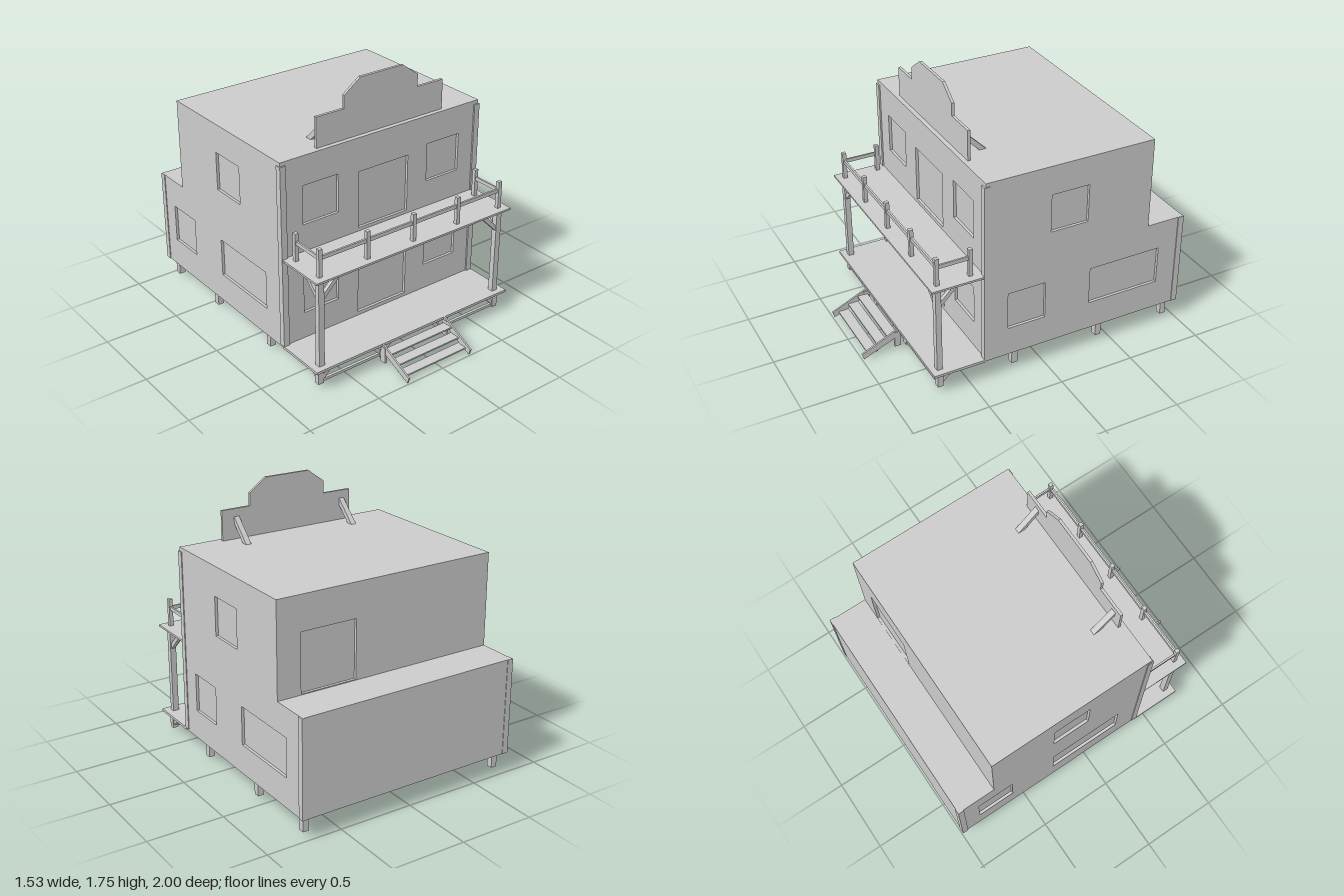
import * as THREE from 'three';

const grey = new THREE.MeshStandardMaterial({ color: 0xcccccc, flatShading: true, side: THREE.DoubleSide });

export function createModel() {
  const model = new THREE.Group();

  const add = (name, geometry, parent = model) => {
    const mesh = new THREE.Mesh(geometry, grey);
    mesh.name = name;
    parent.add(mesh);
    return mesh;
  };

  // Box given by its limits on each axis
  const box = (name, x0, x1, y0, y1, z0, z1) =>
    add(name, new THREE.BoxGeometry(x1 - x0, y1 - y0, z1 - z0))
      .position.set((x0 + x1) / 2, (y0 + y1) / 2, (z0 + z1) / 2);

  const shapeOf = (points) => new THREE.Shape(points.map(([x, y]) => new THREE.Vector2(x, y)));

  // Flat profile with thickness, centred on its own plane, turned about y
  const plate = (name, points, thickness, x, z, turn = 0) => {
    const geometry = new THREE.ExtrudeGeometry(shapeOf(points), { depth: thickness, bevelEnabled: false });
    geometry.translate(0, 0, -thickness / 2);
    const mesh = add(name, geometry);
    mesh.position.set(x, 0, z);
    mesh.rotation.y = turn;
  };

  // Thin wall with openings [x0, x1, y0, y1], each closed by a recessed panel
  const wall = (name, outline, openings, x, z, turn) => {
    const group = new THREE.Group();
    group.name = name;
    group.position.set(x, 0, z);
    group.rotation.y = turn;
    model.add(group);
    const shape = shapeOf(outline);
    const depth = 0.018;
    for (const [x0, x1, y0, y1] of openings) {
      shape.holes.push(new THREE.Path([[x0, y0], [x0, y1], [x1, y1], [x1, y0]].map(p => new THREE.Vector2(...p))));
      const recess = new THREE.BoxGeometry(x1 - x0, y1 - y0, depth);
      // leave the outer face open
      recess.setIndex(Array.from(recess.index.array).filter((_, i) => i < 24 || i >= 30));
      recess.translate((x0 + x1) / 2, (y0 + y1) / 2, -depth / 2);
      add(y1 - y0 > 0.3 ? 'doorRecess' : 'windowRecess', recess, group);
    }
    add(name + 'Panel', new THREE.ShapeGeometry(shape), group);
  };

  const slab = (name, x0, x1, z0, z1, y) => {
    const geometry = new THREE.PlaneGeometry(x1 - x0, z1 - z0);
    geometry.rotateX(-Math.PI / 2);
    add(name, geometry).position.set((x0 + x1) / 2, y, (z0 + z1) / 2);
  };

  // Main levels
  const W = 0.76, FRONT = 0.4, STEP = -0.735, BACK = -0.997;
  const BASE = 0.14, MID = 0.78, TOP = 1.39;
  const low = [0.335, 0.59], high = [0.943, 1.198];

  // Building shell, open underneath
  const rect = (y0, y1) => [[-W, y0], [W, y0], [W, y1], [-W, y1]];
  wall('frontWall', rect(BASE, TOP), [
    [-0.19, 0.19, 0.18, 0.56], [-0.19, 0.19, 0.786, 1.166],
    ...[low, high].flatMap(h => [[-0.604, -0.345, ...h], [0.345, 0.604, ...h]]),
  ], 0, FRONT, 0);
  wall('upperBackWall', rect(MID, TOP), [[-0.6, -0.22, 0.786, 1.166]], 0, STEP, Math.PI);
  wall('lowerBackWall', rect(BASE, MID), [], 0, BACK, Math.PI);

  const side = [[FRONT, BASE], [FRONT, TOP], [STEP, TOP], [STEP, MID], [BACK, MID], [BACK, BASE]];
  wall('leftSideWall', side.map(([z, y]) => [-z, y]), [
    [0.035, 0.29, ...high], [-0.249, 0.008, ...low], [0.324, 0.826, ...low],
  ], W, 0, Math.PI / 2);
  wall('rightSideWall', side, [
    [-0.29, -0.035, ...high], [-0.855, -0.6, ...low], [-0.28, 0.222, ...low],
  ], -W, 0, -Math.PI / 2);
  slab('roof', -W, W, STEP, FRONT, TOP);
  slab('upperFloorAndBackRoof', -W, W, BACK, FRONT, MID);

  // Corner boards and building stilts
  for (const s of [-1, 1]) {
    const post = (name, a, b, ...rest) => box(name, Math.min(s * a, s * b), Math.max(s * a, s * b), ...rest);
    post('frontCornerBoard', 0.724, 0.765, 0.155, 1.365, 0.37, 0.41);
    post('backCornerBoard', 0.724, 0.765, BASE, MID - 0.001, -1, -0.96);
    for (const z of [0.182, -0.426, -0.925]) post('stilt', 0.687, 0.728, 0.03, BASE, z - 0.02, z + 0.02);
    // Tall posts holding the balcony
    post('balconyPost', 0.68, 0.72, 0.155, 0.75, 0.671, 0.708);
  }

  // Porch and balcony decks
  box('porchDeck', -0.765, 0.765, 0.138, 0.155, 0.4, 0.746);
  box('balconyDeck', -W, W, 0.75, 0.763, 0.4, 0.746);

  // Diagonal braces: 0 runs to +x, PI to -x, PI/2 to the back
  const upperBrace = [[0, 0.606], [0.144, 0.75], [0.107, 0.75], [0, 0.643]];
  const lowerBrace = [[0, 0.05], [0.088, 0.138], [0.052, 0.138], [0, 0.086]];
  for (const s of [-1, 1]) {
    plate('balconyBrace', upperBrace, 0.025, s * 0.68, 0.69, s > 0 ? Math.PI : 0);
    plate('balconyBrace', upperBrace, 0.025, s * 0.7, 0.671, Math.PI / 2);
  }

  // Porch stilts with their braces and front beam
  for (const x of [-0.707, -0.236, 0.236, 0.707]) {
    box('porchStilt', x - 0.02, x + 0.02, 0.03, 0.138, 0.671, 0.708);
    if (x < 0.7) plate('porchBrace', lowerBrace, 0.025, x + 0.02, 0.69, 0);
    if (x > -0.7) plate('porchBrace', lowerBrace, 0.025, x - 0.02, 0.69, Math.PI);
    plate('porchBrace', lowerBrace, 0.025, x, 0.671, Math.PI / 2);
  }
  box('porchBeam', -0.69, 0.69, 0.035, 0.053, 0.68, 0.699);

  // Balcony railing
  const railPost = (x, z) => box('railingPost', x - 0.013, x + 0.013, 0.763, 0.947, z - 0.013, z + 0.013);
  for (const x of [-0.7, -0.352, 0, 0.352, 0.7]) railPost(x, 0.69);
  box('frontRail', -0.7, 0.7, 0.873, 0.898, 0.683, 0.696);
  for (const [x, z] of [[-0.7, 0.458], [0.7, 0.472]]) {
    railPost(x, z);
    box('sideRail', x - 0.006, x + 0.006, 0.873, 0.898, z, 0.69);
  }

  // Steps: two sloping stringers, their posts and three treads
  const stringer = [[-1, 0.043], [-0.987, 0.003], [-0.73, 0.113], [-0.745, 0.155], [-0.757, 0.153]];
  for (const x of [-0.266, 0.232]) {
    plate('stepStringer', stringer, 0.012, x, 0, Math.PI / 2);
    box('stepPost', x - 0.009, x + 0.009, 0.03, 0.138, 0.735, 0.776);
  }
  for (let i = 0; i < 3; i++) {
    const y = 0.116 - i * 0.039, z = 0.75 + i * 0.069;
    box('stepTread', -0.264, 0.23, y - 0.01, y, z, z + 0.07);
  }

  // Blank signboard on the roof with two props behind
  const half = [[0.48, TOP], [0.48, 1.587], [0.278, 1.587], [0.278, 1.67], [0.16, 1.756]];
  plate('signBoard', [...half, ...half.map(([x, y]) => [-x, y]).reverse()], 0.018, 0, 0.361);
  for (const x of [-0.417, 0.377]) {
    plate('signProp', [[0, 1.49], [0.1, TOP], [0.145, TOP], [0, 1.535]], 0.036, x, 0.352, Math.PI / 2);
  }

  return model;
}
